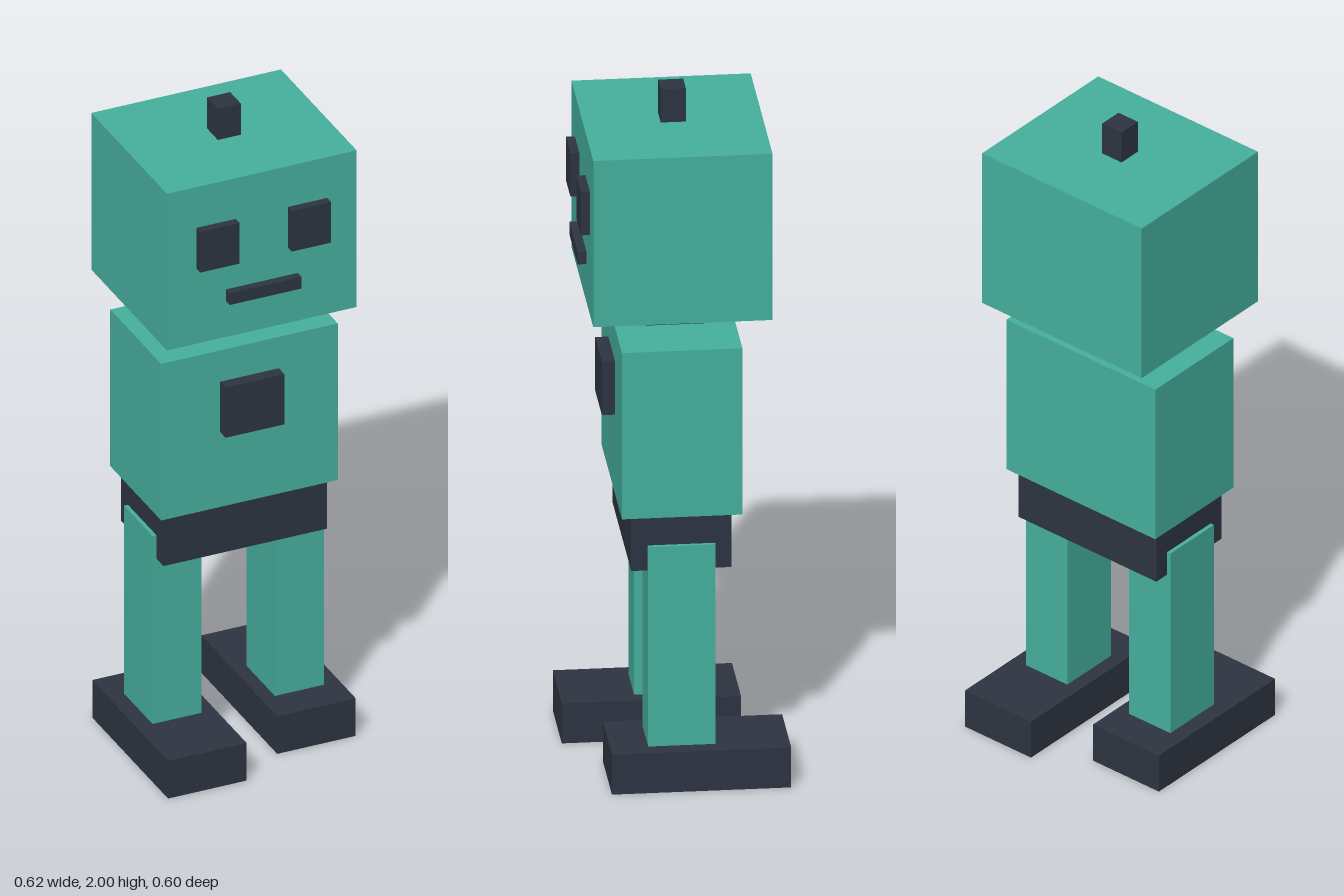
import * as THREE from 'three';

export function createModel() {
  const teal = new THREE.MeshStandardMaterial({ color: 0x46b09e });
  teal.name = 'teal';
  const dark = new THREE.MeshStandardMaterial({ color: 0x2d3542 });
  dark.name = 'darkSlate';

  const robot = new THREE.Group();
  robot.name = 'robot';

  // Box given by its [min, max] range on each axis
  function box(name, material, [x0, x1], [y0, y1], [z0, z1]) {
    const mesh = new THREE.Mesh(new THREE.BoxGeometry(x1 - x0, y1 - y0, z1 - z0), material);
    mesh.position.set((x0 + x1) / 2, (y0 + y1) / 2, (z0 + z1) / 2);
    mesh.name = name;
    robot.add(mesh);
  }

  // Head, neck and antenna
  box('antenna', dark, [-0.035, 0.035], [1.9, 2], [-0.035, 0.035]);
  box('head', teal, [-0.29, 0.29], [1.4, 1.9], [-0.25, 0.25]);
  box('mouth', dark, [-0.11, 0.11], [1.515, 1.552], [0.25, 0.275]);
  box('neck', dark, [-0.08, 0.08], [1.31, 1.4], [-0.083, 0.083]);

  // Body
  box('torso', teal, [-0.27, 0.27], [0.81, 1.31], [-0.168, 0.168]);
  box('chestPanel', dark, [-0.09, 0.09], [1.05, 1.21], [0.168, 0.205]);
  box('hips', dark, [-0.25, 0.25], [0.645, 0.81], [-0.14, 0.14]);

  // Paired parts; the feet are staggered, right one forward
  for (const [side, s] of [['left', 1], ['right', -1]]) {
    const span = (a, b) => (s > 0 ? [a, b] : [-b, -a]);
    const step = -0.05 * s;
    box(side + 'Eye', dark, span(0.08, 0.2), [1.64, 1.77], [0.25, 0.275]);
    box(side + 'Leg', teal, span(0.112, 0.262), [0.12, 0.72], [-0.094, 0.094]);
    box(side + 'Foot', dark, span(0.07, 0.31), [0, 0.12], [step - 0.25, step + 0.25]);
  }

  return robot;
}
